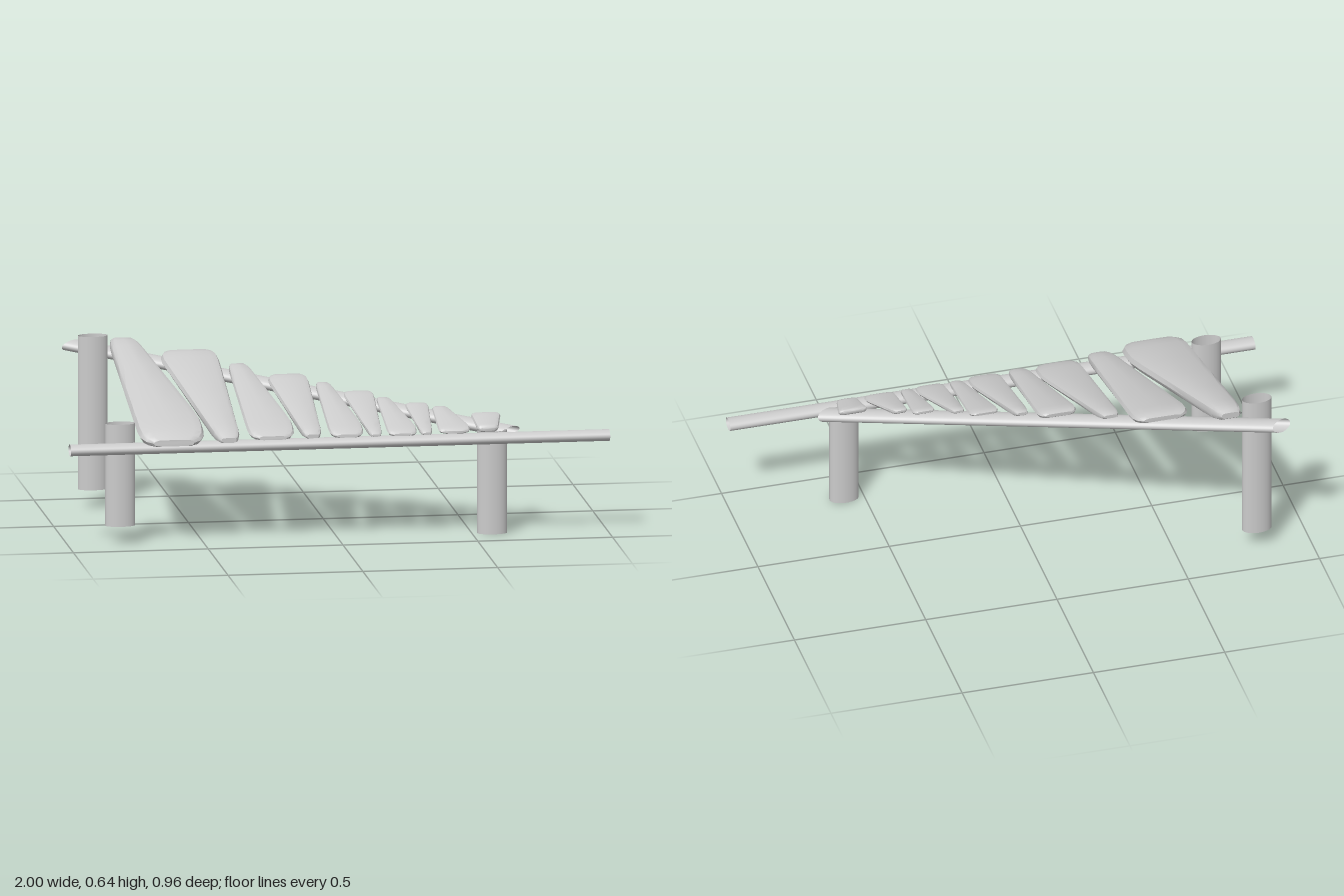
import * as THREE from 'three';
import { toCreasedNormals } from 'three/addons/utils/BufferGeometryUtils.js';

const grey = new THREE.MeshStandardMaterial({ color: 0xcccccc, side: THREE.DoubleSide });
const lerp = THREE.MathUtils.lerp;

// All poles share one oval stretch: wide in x, flat in y.
const STRETCH = new THREE.Vector3(1.7, 0.65, 1);
const RADIUS = 0.0325;

// Hollow open pole between two points
function pole(name, from, to) {
  const a = new THREE.Vector3(...from).divide(STRETCH);
  const b = new THREE.Vector3(...to).divide(STRETCH);
  const dir = b.clone().sub(a);
  const geo = new THREE.CylinderGeometry(RADIUS, RADIUS, dir.length(), 32, 1, true);
  geo.applyQuaternion(new THREE.Quaternion().setFromUnitVectors(
    new THREE.Vector3(0, 1, 0), dir.clone().normalize()));
  const mid = a.add(b).multiplyScalar(0.5);
  geo.translate(mid.x, mid.y, mid.z);
  geo.scale(STRETCH.x, STRETCH.y, STRETCH.z);
  const mesh = new THREE.Mesh(geo, grey);
  mesh.name = name;
  return mesh;
}

// Slab cross-section: u across the width, v through the thickness
const SECTION = [
  [-1, 0.5], [-0.93, 0.82], [-0.7, 1], [0, 1.02], [0.7, 1], [0.93, 0.82],
  [1, 0.5], [0.9, 0.15], [0.65, 0], [-0.65, 0], [-0.9, 0.15],
];

// Stations along a slab: [position, width factor, thickness factor]
const STATIONS = [
  [0, 0.68, 0.4], [0.02, 0.86, 0.7], [0.06, 0.97, 0.94], [0.12, 1, 1], [0.3, 1, 1],
  [0.5, 1, 1], [0.7, 1, 1], [0.8, 1, 1], [0.88, 1, 1], [0.94, 0.96, 0.9],
  [0.98, 0.82, 0.65], [1, 0.62, 0.4],
];

// Underside of the slabs follows the slope of the rail
const slope = (z) => 0.485 - 0.253 * z;

// Stone-like slab, widening to the front or to the back
function slab([backL, backR, backZ, frontL, frontR, frontZ, thick]) {
  const wideFront = frontR - frontL > backR - backL;
  const n = SECTION.length;
  const pos = [], index = [];
  STATIONS.forEach(([t, fw, ft], i) => {
    const k = wideFront ? Math.min(1, t / 0.78) : Math.max(0, (t - 0.1) / 0.9);
    const l = lerp(backL, frontL, k), r = lerp(backR, frontR, k);
    const z = lerp(backZ, frontZ, t);
    for (const [u, v] of SECTION) {
      pos.push((l + r) / 2 + u * fw * (r - l) / 2, slope(z) + thick * (0.5 + (v - 0.5) * ft), z);
    }
    if (i === 0) return;
    for (let j = 0; j < n; j++) {
      const a = (i - 1) * n + j, b = (i - 1) * n + (j + 1) % n;
      index.push(a, a + n, b, b, a + n, b + n);
    }
  });
  // End caps
  const last = (STATIONS.length - 1) * n;
  for (let j = 1; j < n - 1; j++) {
    index.push(0, j, j + 1, last, last + j + 1, last + j);
  }
  const geo = new THREE.BufferGeometry();
  geo.setAttribute('position', new THREE.Float32BufferAttribute(pos, 3));
  geo.setIndex(index);
  return new THREE.Mesh(toCreasedNormals(geo, 0.7), grey);
}

// Slabs: back left x, back right x, back z, front left x, front right x, front z, thickness
const SLABS = [
  [-0.745, -0.645, -0.38, -0.745, -0.5, 0.475, 0.058],
  [-0.57, -0.355, -0.29, -0.46, -0.37, 0.45, 0.044],
  [-0.33, -0.26, -0.18, -0.335, -0.163, 0.43, 0.034],
  [-0.2, -0.05, -0.08, -0.135, -0.065, 0.425, 0.034],
  [-0.03, 0.022, -0.012, -0.035, 0.092, 0.425, 0.029],
  [0.063, 0.175, 0.055, 0.112, 0.158, 0.42, 0.022],
  [0.178, 0.225, 0.115, 0.18, 0.29, 0.42, 0.022],
  [0.277, 0.362, 0.165, 0.302, 0.345, 0.415, 0.02],
  [0.372, 0.425, 0.205, 0.37, 0.487, 0.41, 0.022],
  [0.505, 0.615, 0.275, 0.515, 0.59, 0.4, 0.025],
];

export function createModel() {
  const model = new THREE.Group();

  // Long level rail in front and sloping diagonal rail behind
  model.add(pole('frontRail', [-1, 0.365, 0.409], [1, 0.365, 0.409]));
  model.add(pole('diagonalRail', [-0.867, 0.585, -0.459], [0.64, 0.378, 0.354]));

  // Three upright posts
  model.add(pole('backRightPost', [-0.805, 0.068, -0.342], [-0.805, 0.642, -0.342]));
  model.add(pole('frontRightPost', [-0.805, 0.068, 0.351], [-0.805, 0.45, 0.351]));
  model.add(pole('frontLeftPost', [0.575, 0, 0.351], [0.575, 0.385, 0.351]));

  // Row of slabs shrinking towards the meeting point of the rails
  const slabs = new THREE.Group();
  slabs.name = 'slabs';
  SLABS.forEach((s, i) => {
    const mesh = slab(s);
    mesh.name = `slab${i + 1}`;
    slabs.add(mesh);
  });
  model.add(slabs);
  return model;
}
